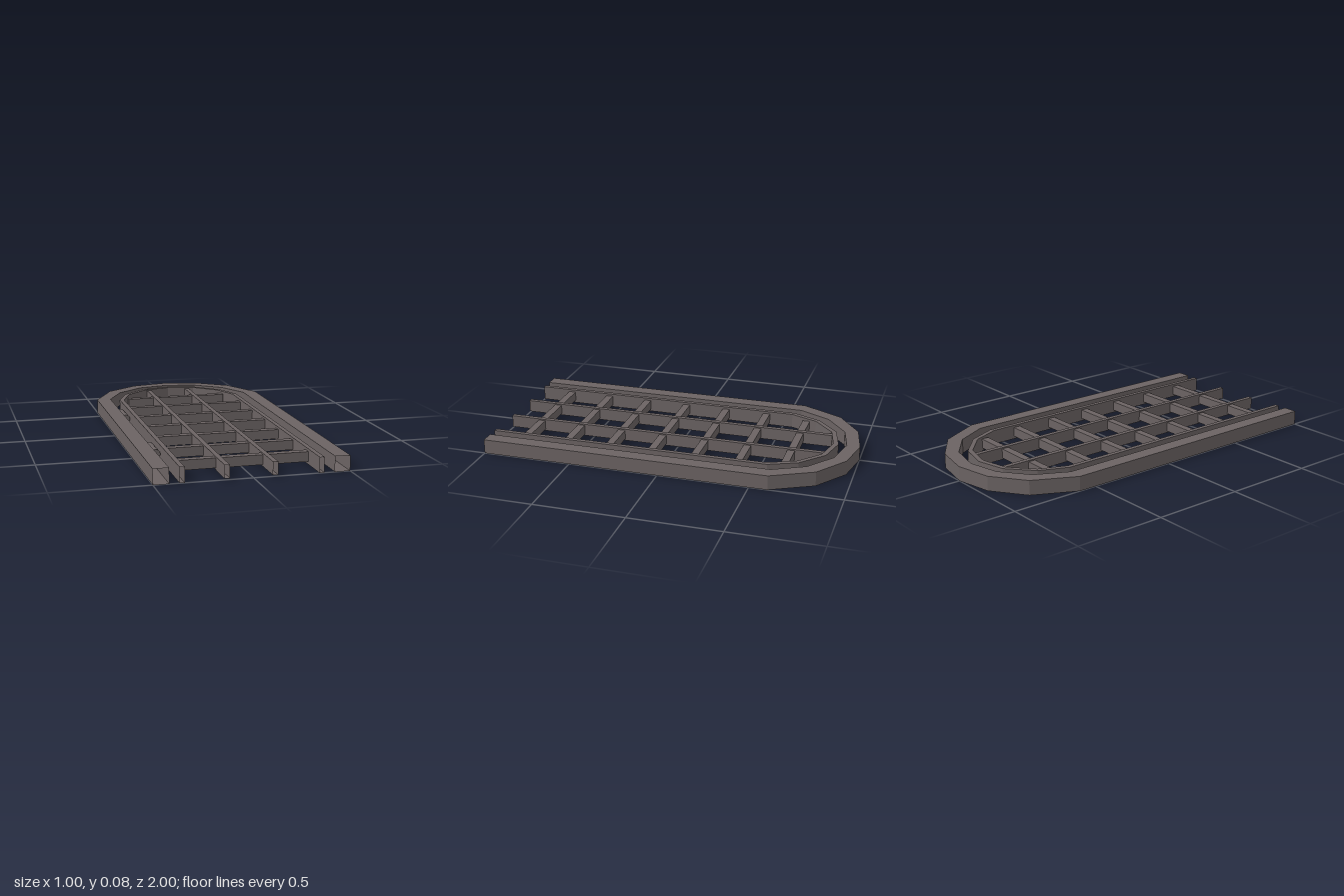
import * as THREE from 'three';

const iron = new THREE.MeshStandardMaterial({ color: 0x6b6363, side: THREE.DoubleSide });
iron.name = 'dark iron';

// Open-ended box section swept between two matching [x, z] edge lines
function channel(name, outer, inner, y0, y1) {
  const rings = outer.map(([ox, oz], i) => {
    const [ix, iz] = inner[i];
    return [[ox, y1, oz], [ix, y1, iz], [ix, y0, iz], [ox, y0, oz]];
  });
  const pos = [];
  for (let i = 0; i < rings.length - 1; i++) {
    for (let k = 0; k < 4; k++) {
      const n = (k + 1) % 4;
      const a = rings[i][k], b = rings[i][n], c = rings[i + 1][n], d = rings[i + 1][k];
      pos.push(...a, ...b, ...c, ...a, ...c, ...d);
    }
  }
  const geo = new THREE.BufferGeometry();
  geo.setAttribute('position', new THREE.Float32BufferAttribute(pos, 3));
  geo.computeVertexNormals();
  const mesh = new THREE.Mesh(geo, iron);
  mesh.name = name;
  return mesh;
}

// Mirror a half arch (left foot to crown) into a full arch
const arch = (half) => [...half, ...half.slice(0, -1).reverse().map(([x, z]) => [-x, z])];

export function createModel() {
  const group = new THREE.Group();
  group.name = 'archedGate';

  // Heavy fixed surround
  group.add(channel('outerFrame',
    arch([[-0.5, 1], [-0.5, -0.6], [-0.383, -0.83], [-0.203, -0.96], [0, -1]]),
    arch([[-0.42, 1], [-0.42, -0.595], [-0.33, -0.77], [-0.178, -0.888], [0, -0.927]]),
    0, 0.08));

  // Slim frame of the gate leaf
  const leaf = channel('innerFrame',
    arch([[-0.367, 1], [-0.367, -0.565], [-0.3, -0.72], [-0.165, -0.842], [0, -0.882]]),
    arch([[-0.342, 1], [-0.342, -0.555], [-0.28, -0.705], [-0.155, -0.817], [0, -0.853]]),
    0, 0.08);
  leaf.position.x = -0.002;
  group.add(leaf);

  // Two long bars
  for (const x of [-0.146, 0.099]) {
    group.add(channel('longBar',
      [[x, 1], [x, -0.83]], [[x + 0.026, 1], [x + 0.026, -0.83]], 0.006, 0.074));
  }

  // Seven cross bars, the last one shortened by the arch
  for (let i = 0; i < 7; i++) {
    const width = i === 6 ? 0.6 : 0.688;
    const bar = new THREE.Mesh(new THREE.BoxGeometry(width, 0.052, 0.041), iron);
    bar.name = 'crossBar';
    bar.position.set(-0.002, 0.041, 0.815 - i * 0.2433);
    group.add(bar);
  }

  // Hinge barrels between the frames
  for (const z of [0.512, -0.3]) {
    const hinge = new THREE.Mesh(new THREE.CylinderGeometry(0.025, 0.025, 0.162, 16), iron);
    hinge.name = 'hinge';
    hinge.rotation.x = Math.PI / 2;
    hinge.position.set(-0.398, 0.04, z);
    group.add(hinge);
  }
  return group;
}
